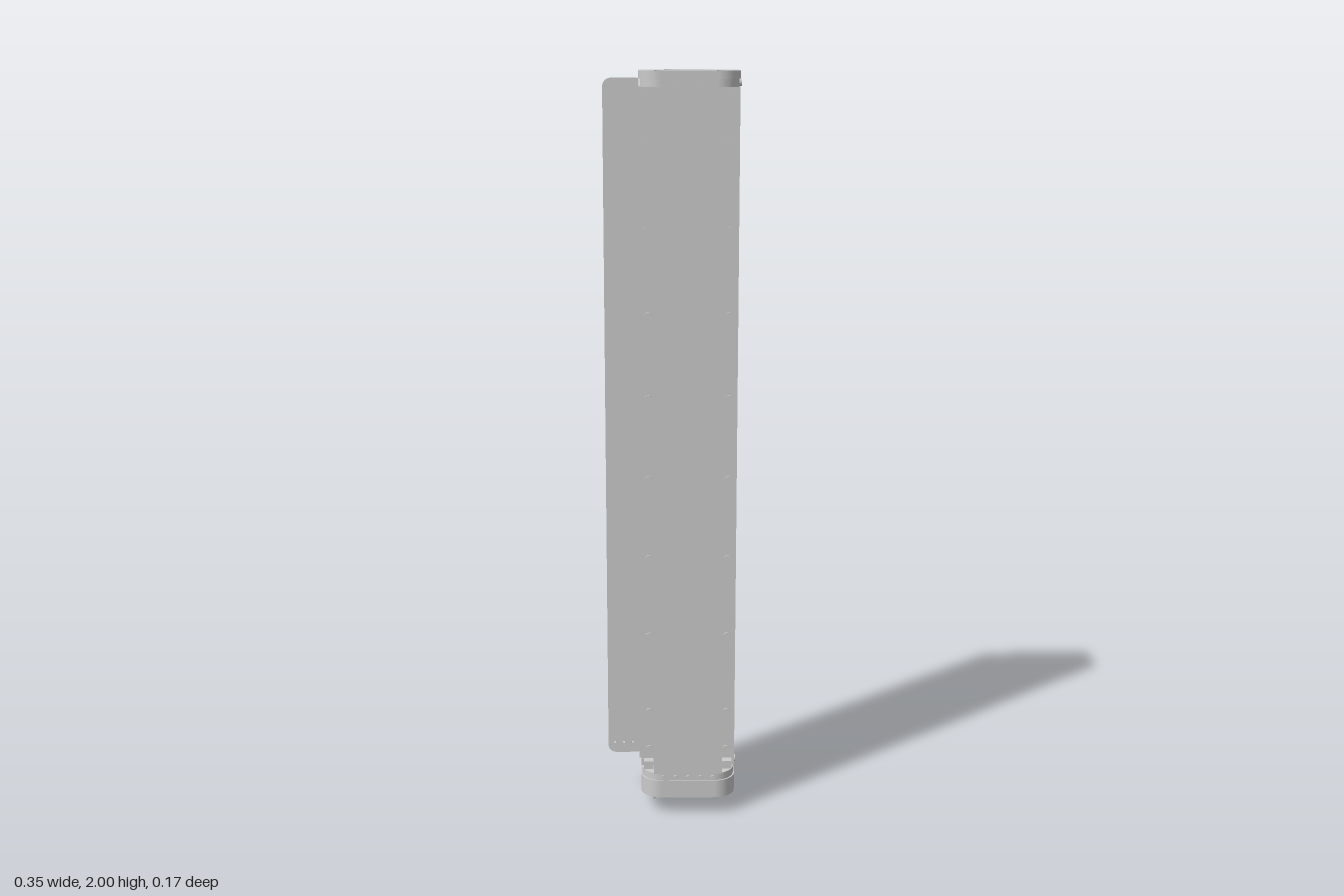
import * as THREE from 'three';

const CX = 0.0435, HALF = 0.1285;          // body centre and half width in x
const BACK = -0.081, FRONT = 0.083;        // end cap depth
const LOW = 0.12, HIGH = 1.96;             // span between the end caps

export function createModel() {
  const model = new THREE.Group();
  const mat = new THREE.MeshStandardMaterial({ color: 0xcccccc });

  const add = (name, geo, x = 0, y = 0, z = 0) => {
    const m = new THREE.Mesh(geo, mat);
    m.name = name;
    m.position.set(x, y, z);
    model.add(m);
    return m;
  };
  // box given by its limits
  const box = (name, x0, x1, y0, y1, z0, z1) =>
    add(name, new THREE.BoxGeometry(x1 - x0, y1 - y0, z1 - z0), (x0 + x1) / 2, (y0 + y1) / 2, (z0 + z1) / 2);
  // plan outline (x, -z) raised from y0 to y1
  const raise = (name, shape, y0, y1) => {
    const g = new THREE.ExtrudeGeometry(shape, { depth: y1 - y0, bevelEnabled: false, curveSegments: 10 });
    g.rotateX(-Math.PI / 2);
    return add(name, g, 0, y0, 0);
  };
  // socket screw whose axis is 'x', 'y' or 'z'
  const screw = (name, x, y, z, r, h, axis) => {
    const m = add(name, new THREE.CylinderGeometry(r, r, h, 14), x, y, z);
    if (axis === 'z') m.rotation.x = Math.PI / 2;
    if (axis === 'x') m.rotation.z = Math.PI / 2;
    return m;
  };

  // cap outline: nearly square at the back, large radius at the front
  const capShape = (inset = 0) => {
    const x0 = CX - HALF + inset, x1 = CX + HALF - inset;
    const f = -FRONT + inset, b = -BACK - inset, R = 0.055, r = 0.006;
    const s = new THREE.Shape();
    s.moveTo(x0 + R, f);
    s.lineTo(x1 - R, f);
    s.absarc(x1 - R, f + R, R, -Math.PI / 2, 0, false);
    s.lineTo(x1, b - r);
    s.absarc(x1 - r, b - r, r, 0, Math.PI / 2, false);
    s.lineTo(x0 + r, b);
    s.absarc(x0 + r, b - r, r, Math.PI / 2, Math.PI, false);
    s.lineTo(x0, f + R);
    s.absarc(x0 + R, f + R, R, Math.PI, Math.PI * 1.5, false);
    return s;
  };
  const slotHole = () => {
    const p = new THREE.Path(), r = 0.032, x0 = -0.022, x1 = 0.108, y0 = -0.014, y1 = 0.06;
    p.moveTo(x0 + r, y0);
    p.lineTo(x1 - r, y0);
    p.absarc(x1 - r, y0 + r, r, -Math.PI / 2, 0, false);
    p.lineTo(x1, y1 - r);
    p.absarc(x1 - r, y1 - r, r, 0, Math.PI / 2, false);
    p.lineTo(x0 + r, y1);
    p.absarc(x0 + r, y1 - r, r, Math.PI / 2, Math.PI, false);
    p.lineTo(x0, y0 + r);
    p.absarc(x0 + r, y0 + r, r, Math.PI, Math.PI * 1.5, false);
    return p;
  };

  // top cap: slotted plate with counterbored screws over a slightly smaller plate
  const capScrews = [];
  for (const s of [-1, 1]) {
    capScrews.push([CX + s * 0.0785, -0.01, 0.011], [CX + s * 0.0785, 0.021, 0.011]);
    capScrews.push([CX + s * 0.101, 0.061, 0.008], [CX + s * 0.05, 0.061, 0.008]);
  }
  const topShape = capShape();
  topShape.holes.push(slotHole());
  for (const [x, z, r] of capScrews) {
    topShape.holes.push(new THREE.Path().absarc(x, -z, r, 0, Math.PI * 2, true));
    screw('topCapScrew', x, 1.987, z, r * 0.62, 0.018, 'y');
  }
  raise('topCapPlate', topShape, 1.98, 2);
  const lowerTop = capShape(0.003);
  lowerTop.holes.push(slotHole());
  raise('topCapBase', lowerTop, HIGH, 1.98);

  // bottom cap: deep housing with a thinner plate on top
  raise('bottomHousing', capShape(), 0.05, 0.1);
  raise('bottomCapPlate', capShape(0.003), 0.1, LOW);

  // screws along the front of both caps
  for (const y of [1.972, 0.109])
    for (let i = -2; i <= 2; i++) screw('capFrontScrew', CX + i * 0.034, y, 0.081, 0.006, 0.006, 'z');

  // channel body: open to the front, two grooves along each side
  const side = [[0.1285, -0.025], [0.1285, 0.03], [0.1205, 0.03], [0.1205, 0.042], [0.1285, 0.042],
    [0.1285, 0.055], [0.1205, 0.055], [0.1205, 0.067], [0.1285, 0.067], [0.1285, 0.079]];
  const pts = [[0.086, 0.064], [0.086, -0.025], ...side];
  const outline = [...pts, ...pts.map(([x, y]) => [-x, y]).reverse()];
  raise('channelBody', new THREE.Shape(outline.map(([x, y]) => new THREE.Vector2(CX + x, y))), LOW, HIGH);

  // rail inside the channel
  box('innerRail', 0, 0.088, LOW, HIGH, -0.064, -0.052);
  box('innerRailStrip', 0.025, 0.071, LOW, HIGH, -0.052, -0.046);

  // thin flat cover across the front
  box('frontCover', CX - 0.093, CX + 0.093, LOW, HIGH, 0.0805, 0.0825);

  // screws on the front edges of the channel
  const rows = [0.17, 1.93];
  for (let i = 0; i < 8; i++) rows.push(0.28 + i * 0.22);
  for (const s of [-1, 1]) {
    for (const y of rows) screw('edgeScrew', CX + s * 0.106, y, 0.0265, 0.01, 0.005, 'z');
    // guide blocks beside the caps
    box('upperGuide', CX + s * 0.108 - 0.013, CX + s * 0.108 + 0.013, 1.942, HIGH, 0.024, 0.05);
    box('lowerGuide', CX + s * 0.108 - 0.013, CX + s * 0.108 + 0.013, LOW, 0.142, 0.024, 0.05);
    // raised mounting strips on the back
    const c = CX + s * 0.0825;
    box('backStrip', c - 0.033, c + 0.033, LOW, HIGH, -0.085, -0.078);
    for (let i = 0; i < 10; i++) {
      screw('backStripScrew', CX + s * 0.1, 0.16 + i * 0.196, -0.085, 0.005, 0.002, 'z');
      screw('backScrew', CX + s * 0.038, 0.16 + i * 0.196, -0.079, 0.005, 0.002, 'z');
    }
  }
  for (const y of [0.3, 0.36, 0.42, 0.48, 0.56, 0.62, 1.3, 1.36, 1.42, 1.7])
    screw('backCentreScrew', 0.01, y, -0.079, 0.005, 0.002, 'z');

  // small buttons on the left side
  for (const y of [1.97, 0.13]) screw('sideButton', 0.17, y, 0, 0.01, 0.012, 'x');

  // side wing: flat plate with rounded outer corners on an angle flange
  const wing = new THREE.Shape(), wr = 0.022, wx = -0.178, wi = -0.085, wb = 0.122, wt = 1.98;
  wing.moveTo(wi, wb);
  wing.lineTo(wi, wt);
  wing.lineTo(wx + wr, wt);
  wing.absarc(wx + wr, wt - wr, wr, Math.PI / 2, Math.PI, false);
  wing.lineTo(wx, wb + wr);
  wing.absarc(wx + wr, wb + wr, wr, Math.PI, Math.PI * 1.5, false);
  for (const x of [-0.16, -0.135, -0.11])
    wing.holes.push(new THREE.Path().absarc(x, 0.152, 0.003, 0, Math.PI * 2, true));
  add('sideWing', new THREE.ExtrudeGeometry(wing, { depth: 0.005, bevelEnabled: false, curveSegments: 8 }), 0, 0, -0.065);
  box('wingFlange', -0.091, -0.085, wb, wt, -0.065, -0.021);

  // cable gland under the housing
  const gland = [[0.027, 0.016, 0.034, 0.052, 6], [0.021, 0.021, 0.025, 0.034, 20],
    [0.025, 0.02, 0.014, 0.026, 6], [0.006, 0.006, 0, 0.016, 12]];
  gland[0][1] = 0.027;
  for (const [rt, rb, y0, y1, n] of gland)
    add('cableGland', new THREE.CylinderGeometry(rt, rb, y1 - y0, n), -0.052, (y0 + y1) / 2, -0.02);

  return model;
}
